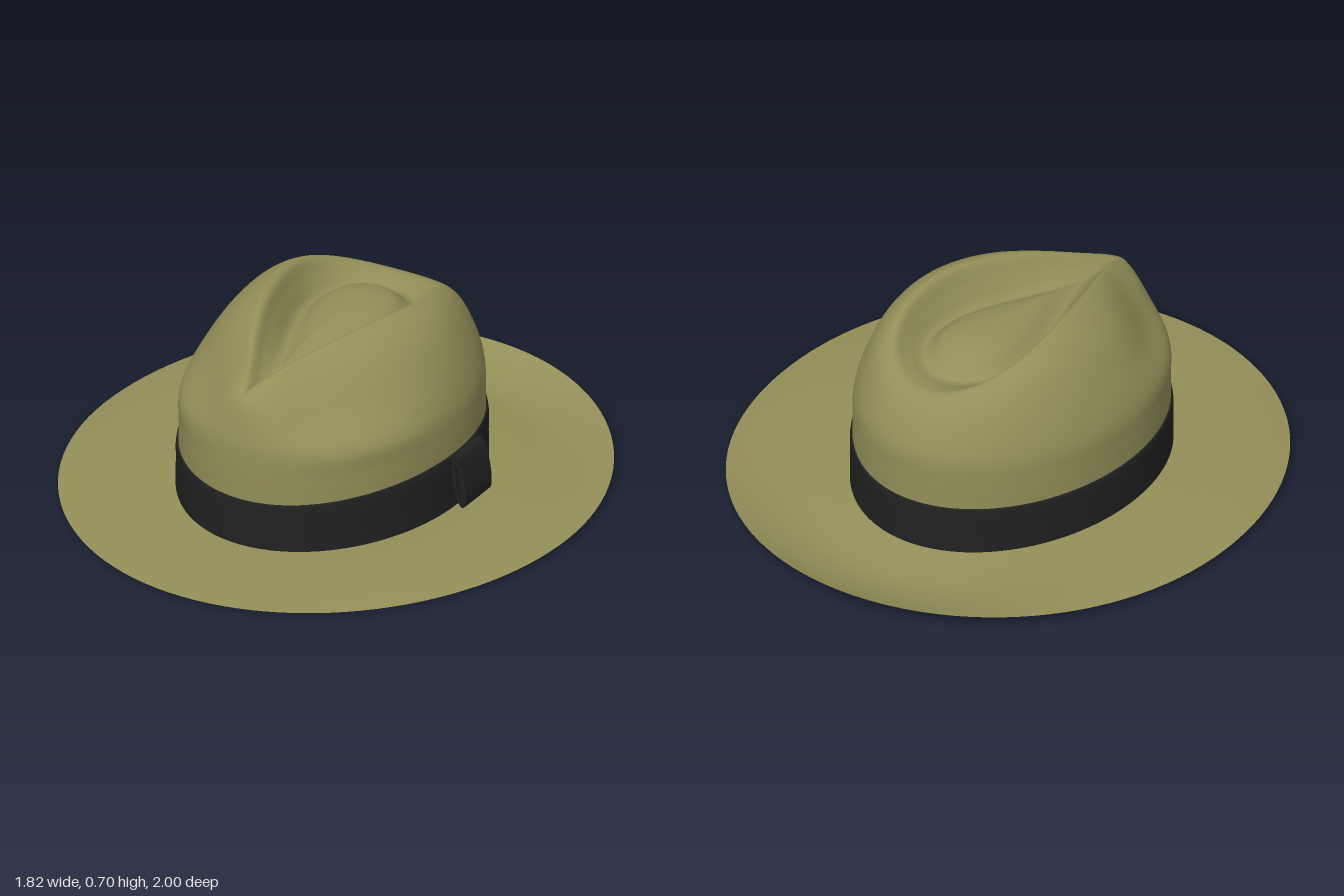
import * as THREE from 'three';

const felt = new THREE.MeshStandardMaterial({ color: 0x938f58, side: THREE.DoubleSide });
felt.name = 'oliveFelt';
const ribbon = new THREE.MeshStandardMaterial({ color: 0x212122, side: THREE.DoubleSide });
ribbon.name = 'blackRibbon';

const AROUND = 112;
const V = (x, y, z) => new THREE.Vector3(x, y, z);
// Point on the head oval, which sits slightly off centre
const oval = (a, rx, rz, y) => V(-0.011 + rx * Math.sin(a), y, 0.006 + rz * Math.cos(a));

// Closed surface swept around the hat: column(a) gives the section at angle a (0 = front, +x next)
function sweep(name, material, column, rows) {
  const pos = [], index = [];
  for (let i = 0; i < AROUND; i++) {
    const curve = new THREE.CatmullRomCurve3(column((i / AROUND) * Math.PI * 2));
    for (let j = 0; j <= rows; j++) pos.push(...curve.getPoint(j / rows).toArray());
  }
  for (let i = 0; i < AROUND; i++) {
    const p = i * (rows + 1), q = ((i + 1) % AROUND) * (rows + 1);
    for (let j = 0; j < rows; j++) {
      index.push(p + j, q + j, q + j + 1, p + j, q + j + 1, p + j + 1);
    }
  }
  const geo = new THREE.BufferGeometry();
  geo.setAttribute('position', new THREE.Float32BufferAttribute(pos, 3));
  geo.setIndex(index);
  geo.computeVertexNormals();
  const mesh = new THREE.Mesh(geo, material);
  mesh.name = name;
  return mesh;
}

// Blend values for the front, left (+x), back and right (-x) around the oval
function around(a, front, left, back, right = left) {
  const c = Math.cos(a), s = Math.sin(a);
  return (s > 0 ? left : right) * s * s + (c > 0 ? front : back) * c * c;
}
const bandTop = (a) => around(a, 0.198, 0.235, 0.203, 0.215);
const brimInner = (a) => around(a, 0.028, 0.04, 0.03, 0.045);

// Teardrop outline of the crown dent, pointed at the front and scaled about its middle
function teardrop(a, k, y) {
  const z = 0.045 + 0.505 * Math.cos(a);
  const x = 0.345 * Math.sin(a) * Math.abs(Math.sin(a / 2)) ** 1.3;
  const lean = -0.03 * Math.max(0, z / 0.55);
  const height = y ?? 0.698 - (z > 0 ? 0.45 : 0.64) * z * z;
  return V((x + lean) * k, height, -0.13 + (z + 0.13) * k);
}

function crownColumn(a) {
  const top = bandTop(a);
  const wall = oval(a, 0.474, 0.6, 0.39);
  const ridge = teardrop(a, 1);
  // Finger pinches on both sides of the front
  const off = Math.min(a, Math.PI * 2 - a);
  const pinch = 0.2 * Math.exp(-(((off - 0.78) / 0.36) ** 2));
  const shoulder = (h, v) => V(
    THREE.MathUtils.lerp(wall.x, ridge.x, h),
    THREE.MathUtils.lerp(wall.y, ridge.y, v),
    THREE.MathUtils.lerp(wall.z, ridge.z, h));
  return [
    oval(a, 0.483, 0.6, top),
    oval(a, 0.481, 0.602, (top + 0.39) / 2),
    wall,
    shoulder(0.2 + pinch * 0.85, 0.4),
    shoulder(0.5 + pinch, 0.77),
    shoulder(0.78 + pinch * 0.6, 0.95),
    ridge,
    teardrop(a, 0.86, around(a, 0.56, 0.635, 0.558)),
    teardrop(a, 0.68, around(a, 0.567, 0.567, 0.548)),
    teardrop(a, 0.45, 0.605),
    teardrop(a, 0.2, 0.625),
    V(0, 0.628, -0.13),
  ];
}

function bandColumn(a) {
  const low = brimInner(a), top = bandTop(a);
  return [
    oval(a, 0.493, 0.607, low),
    oval(a, 0.492, 0.607, (low + top) / 2),
    oval(a, 0.489, 0.605, top - 0.004),
    oval(a, 0.483, 0.6, top),
  ];
}

// Wavy brim, listed from its outer edge inwards
function brimColumn(a) {
  const inner = oval(a, 0.493, 0.607, brimInner(a));
  const edge = V(0.908 * Math.sin(a), 0, Math.cos(a));
  const ring = (s, y) => V(
    THREE.MathUtils.lerp(inner.x, edge.x, s), y,
    THREE.MathUtils.lerp(inner.z, edge.z, s));
  return [
    ring(1, around(a, 0.011, 0.02, 0.062, 0.03)),
    ring(0.8, around(a, 0.017, 0.033, 0.028, 0.046)),
    ring(0.5, around(a, 0.025, 0.045, 0.003, 0.05)),
    ring(0.22, around(a, 0.027, 0.05, 0.013, 0.048)),
    inner,
  ];
}

// Folded ribbon loop standing off the left side of the band
function bandLoop() {
  const outer = [[0.474, 0.235], [0.498, 0.237], [0.516, 0.205], [0.53, 0.14], [0.535, 0.09],
    [0.53, 0.055], [0.512, 0.058], [0.493, 0.1], [0.484, 0.17]];
  const inner = [[0.495, 0.215], [0.506, 0.185], [0.517, 0.135], [0.522, 0.09], [0.518, 0.07],
    [0.504, 0.1], [0.495, 0.17]];
  const path = (pts) => new THREE.SplineCurve([...pts, pts[0]].map(([x, y]) => new THREE.Vector2(x, y))).getPoints(36);
  const shape = new THREE.Shape(path(outer));
  shape.holes.push(new THREE.Path(path(inner)));
  const geo = new THREE.ExtrudeGeometry(shape, { depth: 0.17, bevelEnabled: false });
  geo.translate(0, 0, -0.125);
  const mesh = new THREE.Mesh(geo, ribbon);
  mesh.name = 'bandLoop';
  return mesh;
}

export function createModel() {
  const hat = new THREE.Group();
  hat.name = 'hat';
  hat.add(
    sweep('crown', felt, crownColumn, 66),
    sweep('hatBand', ribbon, bandColumn, 9),
    sweep('brim', felt, brimColumn, 20),
    bandLoop(),
  );
  return hat;
}
